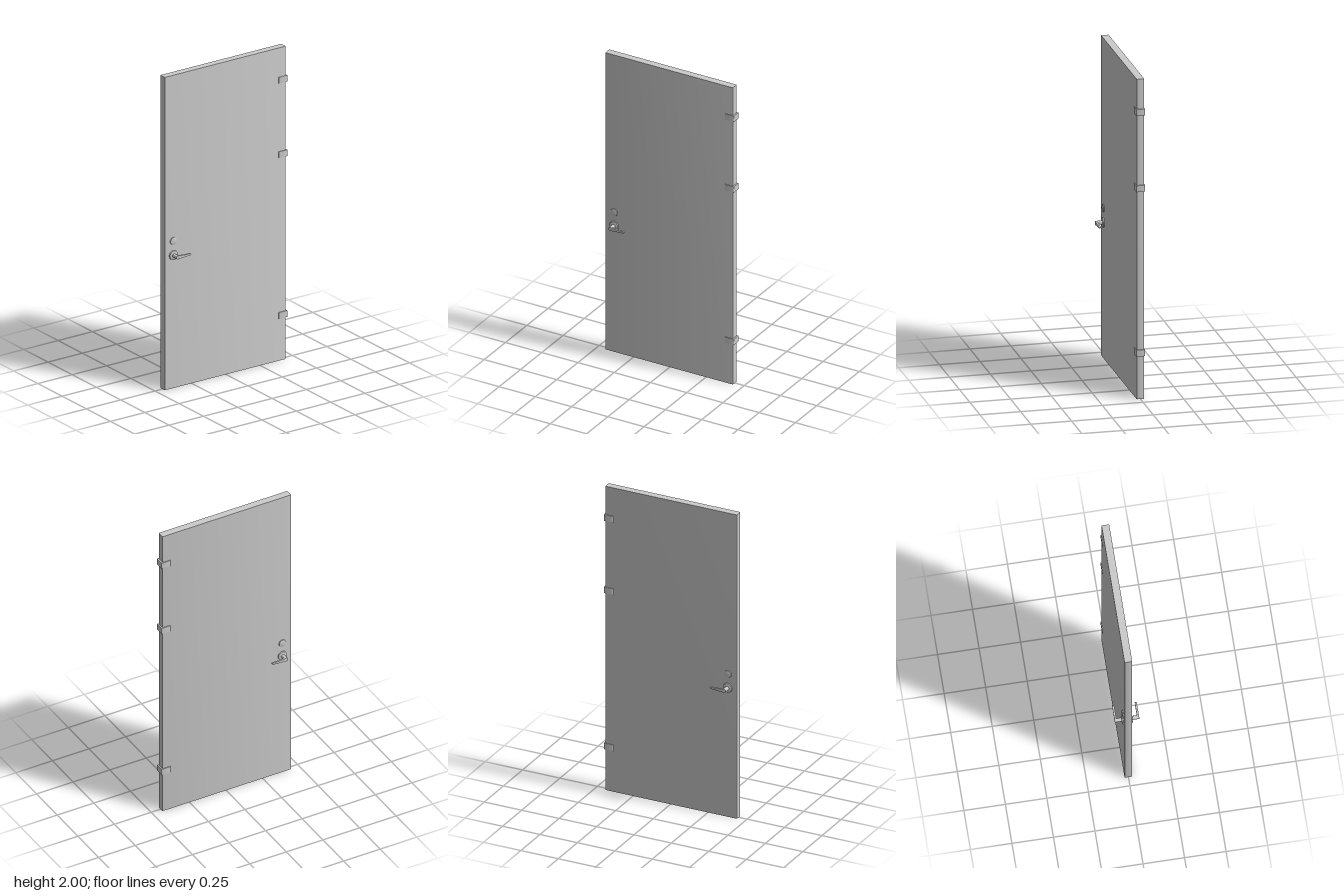
import * as THREE from 'three';
import { toCreasedNormals } from 'three/addons/utils/BufferGeometryUtils.js';

const material = new THREE.MeshStandardMaterial({ color: 0xcccccc });
const HALF = 0.023; // half the door thickness

function part(name, geometry, parent) {
  const mesh = new THREE.Mesh(toCreasedNormals(geometry, 0.6), material);
  mesh.name = name;
  parent.add(mesh);
  return mesh;
}

// Rectangle in plan with a radius for the left and the right corners
function plan(x0, x1, h, rl, rr) {
  const s = new THREE.Shape();
  s.moveTo(x0 + rl, -h);
  s.lineTo(x1 - rr, -h);
  s.quadraticCurveTo(x1, -h, x1, -h + rr);
  s.lineTo(x1, h - rr);
  s.quadraticCurveTo(x1, h, x1 - rr, h);
  s.lineTo(x0 + rl, h);
  s.quadraticCurveTo(x0, h, x0, h - rl);
  s.lineTo(x0, -h + rl);
  s.quadraticCurveTo(x0, -h, x0 + rl, -h);
  return s;
}

// Extrudes a plan upwards from y0
function rise(shape, y0, height) {
  return new THREE.ExtrudeGeometry(shape, { depth: height, bevelEnabled: false, curveSegments: 5 })
    .rotateX(-Math.PI / 2).translate(0, y0, 0);
}

// Round disc with an eased rim, standing on the z = 0 plane and facing +z
function disc(radius, depth) {
  const e = 0.0035;
  const points = [[radius, -0.002], [radius, depth - e], [radius - e * 0.3, depth - e * 0.3],
    [radius - e, depth], [0, depth]].map(p => new THREE.Vector2(...p));
  return new THREE.LatheGeometry(points, 32).rotateX(Math.PI / 2);
}

// Lever blade: a tapering outline seen from the front
function leverBlade() {
  const s = new THREE.Shape();
  s.absarc(0, 0, 0.012, Math.PI / 2, Math.PI * 1.5, false);
  s.quadraticCurveTo(0.04, -0.009, 0.09, -0.006);
  s.quadraticCurveTo(0.096, -0.005, 0.096, 0);
  s.quadraticCurveTo(0.096, 0.005, 0.09, 0.006);
  s.quadraticCurveTo(0.04, 0.006, 0, 0.012);
  return new THREE.ExtrudeGeometry(s, {
    depth: 0.009, bevelEnabled: true, bevelThickness: 0.0015, bevelSize: 0.0015,
    bevelOffset: -0.0015, bevelSegments: 2, curveSegments: 10,
  });
}

// Lock and lever for one face of the door
function createHardware(side) {
  const group = new THREE.Group();
  group.name = side > 0 ? 'frontHardware' : 'backHardware';
  const x = -0.383;
  part('deadbolt', disc(0.024, 0.006), group).position.set(x, 0.94, HALF);
  part('rosette', disc(0.03, 0.009), group).position.set(x, 0.85, HALF);
  const stem = new THREE.CylinderGeometry(0.012, 0.012, 0.044, 24).rotateX(Math.PI / 2);
  part('leverStem', stem, group).position.set(x, 0.85, HALF + 0.022);
  part('leverBlade', leverBlade(), group).position.set(x, 0.85, 0.0635);
  if (side < 0) {
    // Mirror to the back by flipping z and reversing each triangle
    group.children.forEach(mesh => {
      const g = mesh.geometry.scale(1, 1, -1);
      for (const key of ['position', 'normal']) {
        const a = g.attributes[key];
        for (let i = 0; i < a.count; i += 3) {
          const b = [a.getX(i + 1), a.getY(i + 1), a.getZ(i + 1)];
          a.setXYZ(i + 1, a.getX(i + 2), a.getY(i + 2), a.getZ(i + 2));
          a.setXYZ(i + 2, ...b);
        }
      }
      mesh.position.z *= -1;
    });
  }
  return group;
}

export function createModel() {
  const model = new THREE.Group();
  model.name = 'door';

  // Slab with eased upright edges
  part('doorSlab', rise(plan(-0.444, 0.435, HALF, 0.005, 0.005), 0, 2), model);

  // Hinges wrapped around the hanging edge
  for (const y of [0.289, 1.317, 1.793]) {
    part('hinge', rise(plan(0.382, 0.444, 0.0275, 0.006, 0.002), y - 0.02, 0.04), model);
  }

  for (const side of [1, -1]) model.add(createHardware(side));
  return model;
}
